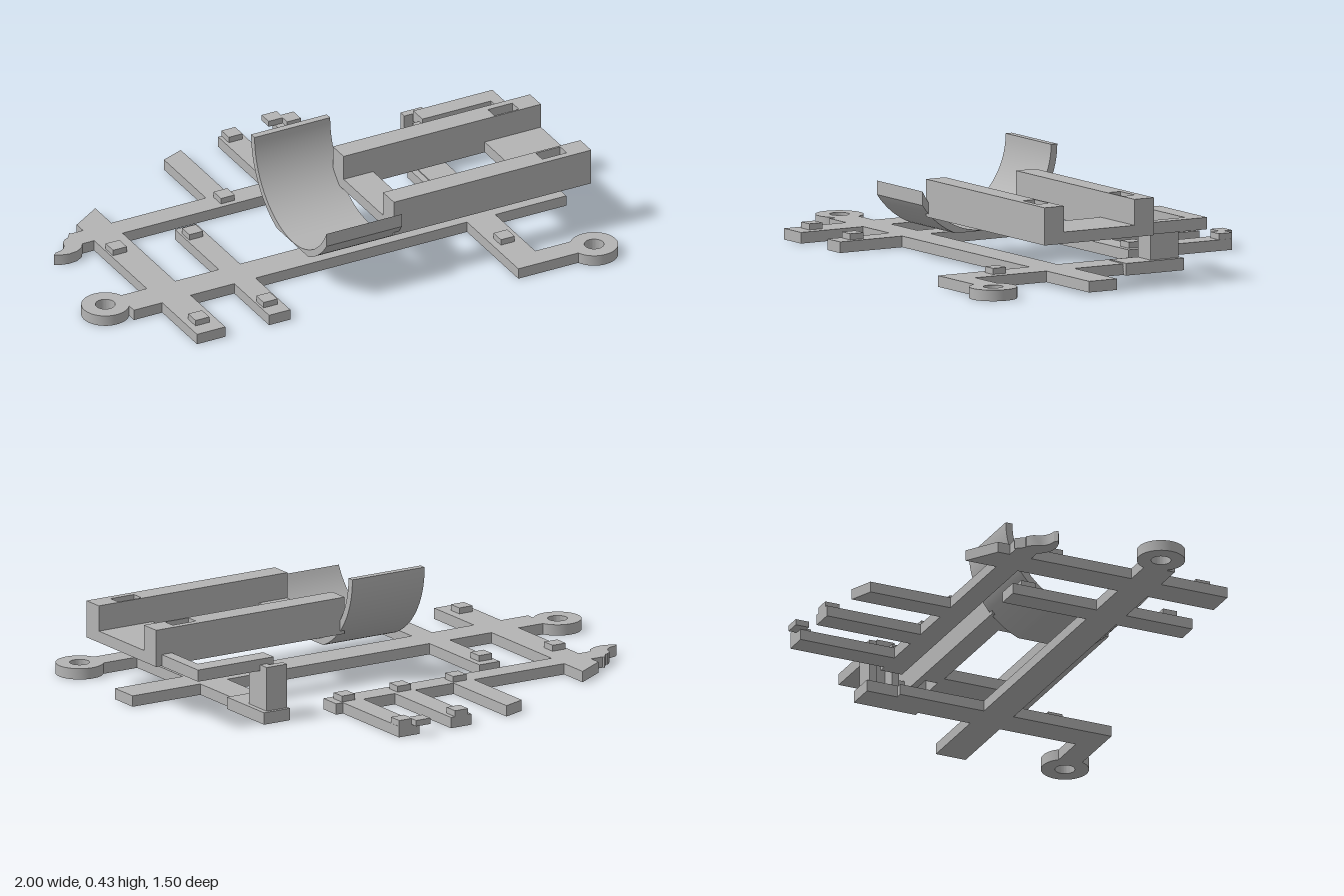
import * as THREE from 'three';
import { toCreasedNormals } from 'three/addons/utils/BufferGeometryUtils.js';

const grey = new THREE.MeshStandardMaterial({ color: 0xb4b4b4 });
grey.name = 'plain grey';

export function createModel() {
  const model = new THREE.Group();
  const BASE = 0.042;

  const add = (name, geo) => {
    const mesh = new THREE.Mesh(geo, grey);
    mesh.name = name;
    model.add(mesh);
    return mesh;
  };
  // Box given by its limits on each axis
  const bar = (name, x0, x1, z0, z1, y0 = 0, y1 = BASE) => {
    const g = new THREE.BoxGeometry(x1 - x0, y1 - y0, z1 - z0);
    add(name, g.translate((x0 + x1) / 2, (y0 + y1) / 2, (z0 + z1) / 2));
  };
  // Flat plate from a plan shape drawn in (x, -z)
  const plate = (name, shape, y0 = 0, y1 = BASE) => {
    const g = new THREE.ExtrudeGeometry(shape, { depth: y1 - y0, bevelEnabled: false, curveSegments: 24 });
    g.rotateX(-Math.PI / 2).translate(0, y0, 0);
    add(name, toCreasedNormals(g, 0.5));
  };
  const plan = (pts) => new THREE.Shape(pts.map(([x, z]) => new THREE.Vector2(x, -z)));
  const rect = (x0, x1, z0, z1) => plan([[x0, z1], [x1, z1], [x1, z0], [x0, z0]]);

  // Main frame bars
  bar('spine', -0.84, 0.99, 0.165, 0.287);
  plate('rightCrossbar', plan([[-0.72, 0.56], [-0.6, 0.56], [-0.6, -0.462], [-0.72, -0.385]]));
  bar('middleCrossbar', -0.415, -0.325, -0.18, 0.56);
  bar('leftCrossbar', 0.57, 0.69, -0.18, 0.69);
  bar('footBar', 0.69, 0.84, 0.6, 0.69);
  bar('backSpine', -0.6, 0.41, -0.336, -0.248);

  // Fins on the back spine
  plate('slantedFin', plan([[-0.2, -0.33], [-0.11, -0.33], [-0.11, -0.7], [-0.2, -0.665]]));
  for (const x of [0.06, 0.29]) bar('fin', x, x + 0.09, -0.722, -0.33);
  bar('finHook', 0.262, 0.325, -0.755, -0.7, BASE, 0.065);

  // Curved claw at the right end
  plate('claw', plan([[-0.72, -0.248], [-0.77, -0.248], [-0.785, -0.225], [-0.815, -0.207], [-0.85, -0.203],
    [-0.88, -0.21], [-0.905, -0.222], [-0.89, -0.235], [-0.865, -0.24], [-0.85, -0.25], [-0.838, -0.265],
    [-0.83, -0.29], [-0.81, -0.31], [-0.8, -0.31], [-0.775, -0.342], [-0.77, -0.336], [-0.72, -0.336]]));

  // Mounting rings
  for (const [x, z] of [[-0.912, 0.196], [0.908, 0.658]]) {
    const ring = new THREE.Shape().absarc(x, -z, 0.09, 0, Math.PI * 2);
    ring.holes.push(new THREE.Path().absarc(x, -z, 0.037, 0, Math.PI * 2, true));
    plate('mountingRing', ring);
  }

  // Small square pads
  const pads = [[-0.683, -0.143], [-0.377, -0.112], [-0.665, 0.472], [-0.377, 0.472], [-0.143, -0.298],
    [0.103, -0.298], [0.35, -0.298], [0.103, -0.693], [0.35, -0.693], [0.627, 0.472]];
  for (const [x, z] of pads) bar('pad', x - 0.029, x + 0.029, z - 0.029, z + 0.029, BASE, 0.065);

  // Channel-shaped post, its foot and the bracket to the tray
  bar('postFoot', 0.595, 0.71, -0.305, -0.05, 0, 0.046);
  bar('postWeb', 0.66, 0.69, -0.262, -0.2, 0.046, 0.215);
  bar('postBackFlange', 0.6, 0.69, -0.292, -0.262, 0.046, 0.215);
  bar('postFrontFlange', 0.6, 0.69, -0.2, -0.17, 0.046, 0.215);
  bar('bracketArm', 0.63, 0.965, -0.247, -0.175, 0.192, 0.237);
  bar('bracketLeg', 0.92, 0.965, -0.175, 0.01, 0.192, 0.237);

  // Tray rails with slots, joined by two floor plates
  for (const [z, slot] of [[0.003, 0.03], [0.398, 0.406]]) {
    const rail = rect(0.155, 0.99, z, z + 0.085);
    rail.holes.push(rect(0.797, 0.9, slot, slot + 0.051));
    plate('trayRail', rail, 0.193, 0.335);
  }
  bar('innerTrayFloor', 0.155, 0.28, 0.088, 0.398, 0.193, 0.237);
  bar('outerTrayFloor', 0.752, 0.99, 0.088, 0.398, 0.193, 0.237);

  // Curved cradle: arc section with a flattened underside and an upright front cut
  const cz = 0.243, cy = 0.425, R = 0.325, r = 0.298, cut = 0.267, flat = 0.301;
  const section = [];
  const arc = (rad, a0, a1, n) => {
    for (let i = 0; i <= n; i++) {
      const a = a0 + ((a1 - a0) * i) / n;
      section.push(new THREE.Vector2(cz + rad * Math.cos(a), cy + rad * Math.sin(a)));
    }
  };
  const low = Math.asin(flat / R);
  arc(R, Math.PI, Math.PI + low, 20);
  arc(R, -low, -Math.acos(cut / R), 8);
  arc(r, -Math.acos(cut / r), -Math.PI, 36);
  const cradle = new THREE.ExtrudeGeometry(new THREE.Shape(section), { depth: 0.32, bevelEnabled: false });
  cradle.rotateY(-Math.PI / 2).translate(0.175, 0, 0);
  add('cradle', toCreasedNormals(cradle, 0.3));

  return model;
}
